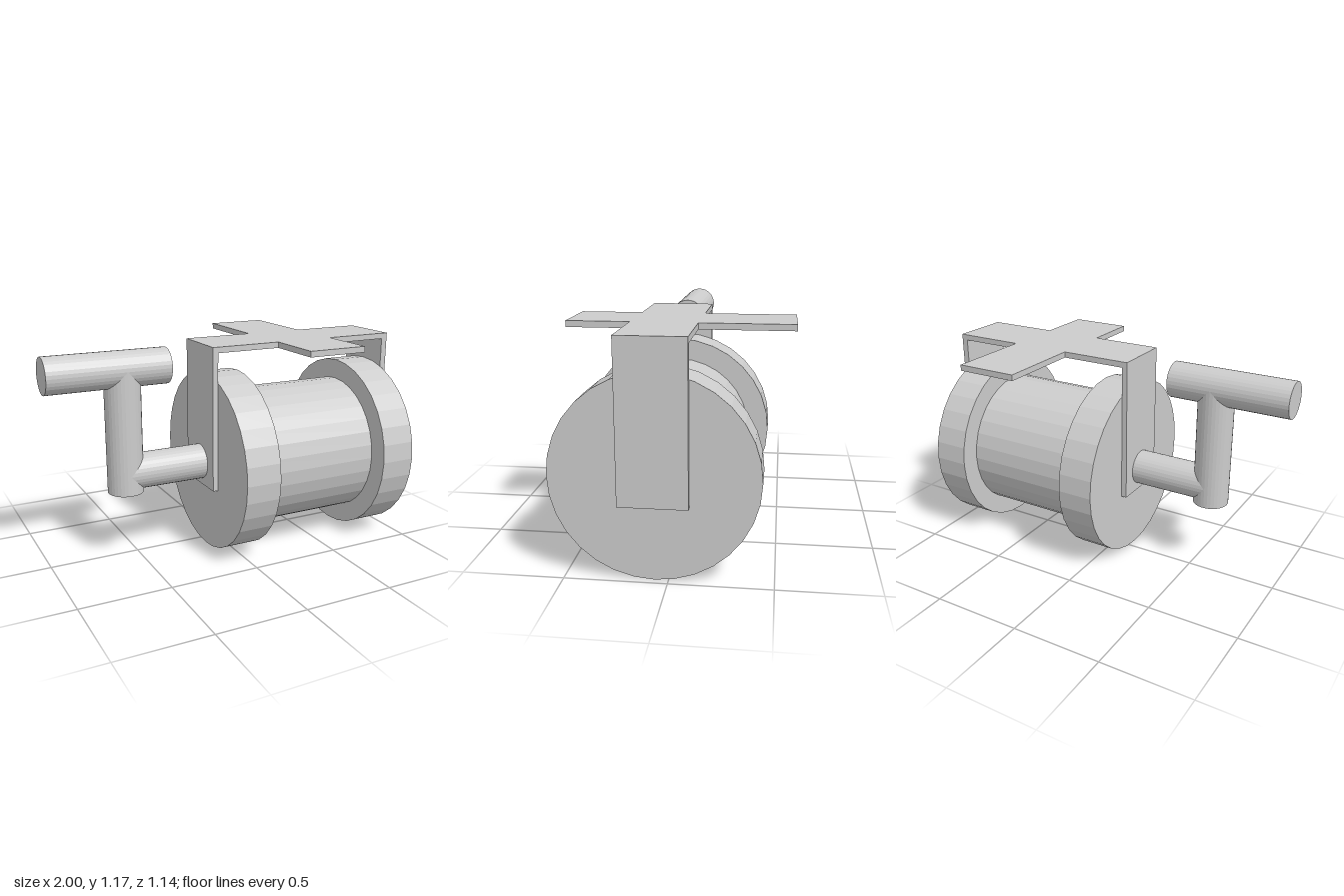
import * as THREE from 'three';

export function createModel() {
  const group = new THREE.Group();
  const grey = new THREE.MeshStandardMaterial({ color: 0xcccccc, flatShading: true });
  grey.name = 'light grey';
  const axisY = 0.507, axisZ = 0.068;

  const add = (name, geometry, x, y, z) => {
    const mesh = new THREE.Mesh(geometry, grey);
    mesh.name = name;
    mesh.position.set(x, y, z);
    group.add(mesh);
    return mesh;
  };
  // cylinder lying along x between two ends
  const rod = (name, radius, x0, x1, y) => {
    const geometry = new THREE.CylinderGeometry(radius, radius, x1 - x0, 32);
    geometry.rotateZ(Math.PI / 2);
    return add(name, geometry, (x0 + x1) / 2, y, axisZ);
  };

  // spool
  rod('spoolCore', 0.393, 0.05, 0.81, axisY);
  rod('leftFlange', 0.504, 0.765, 0.965, axisY);
  rod('rightFlange', 0.504, -0.103, 0.097, axisY);

  // crank
  rod('crankShaft', 0.098, -0.58, -0.11, axisY);
  add('crankArm', new THREE.CylinderGeometry(0.098, 0.098, 0.673, 32), -0.58, 0.737, axisZ);
  rod('crankHandle', 0.098, -1, -0.332, 1.074);

  // bracket strap over the spool, cut as one U-shaped profile
  const strap = new THREE.Shape([
    [-0.133, 0.377], [-0.103, 0.377], [-0.103, 1.145], [0.965, 1.145],
    [0.965, 0.377], [1, 0.377], [1, 1.177], [-0.133, 1.177],
  ].map(([x, y]) => new THREE.Vector2(x, y)));
  add('bracketStrap', new THREE.ExtrudeGeometry(strap, { depth: 0.335, bevelEnabled: false }), 0, 0, -0.1);

  // mounting foot tabs on both sides of the strap
  for (const [name, z0, z1] of [['frontFoot', 0.235, 0.555], ['backFoot', -0.573, -0.1]]) {
    add(name, new THREE.BoxGeometry(0.337, 0.032, z1 - z0), 0.431, 1.161, (z0 + z1) / 2);
  }
  return group;
}
